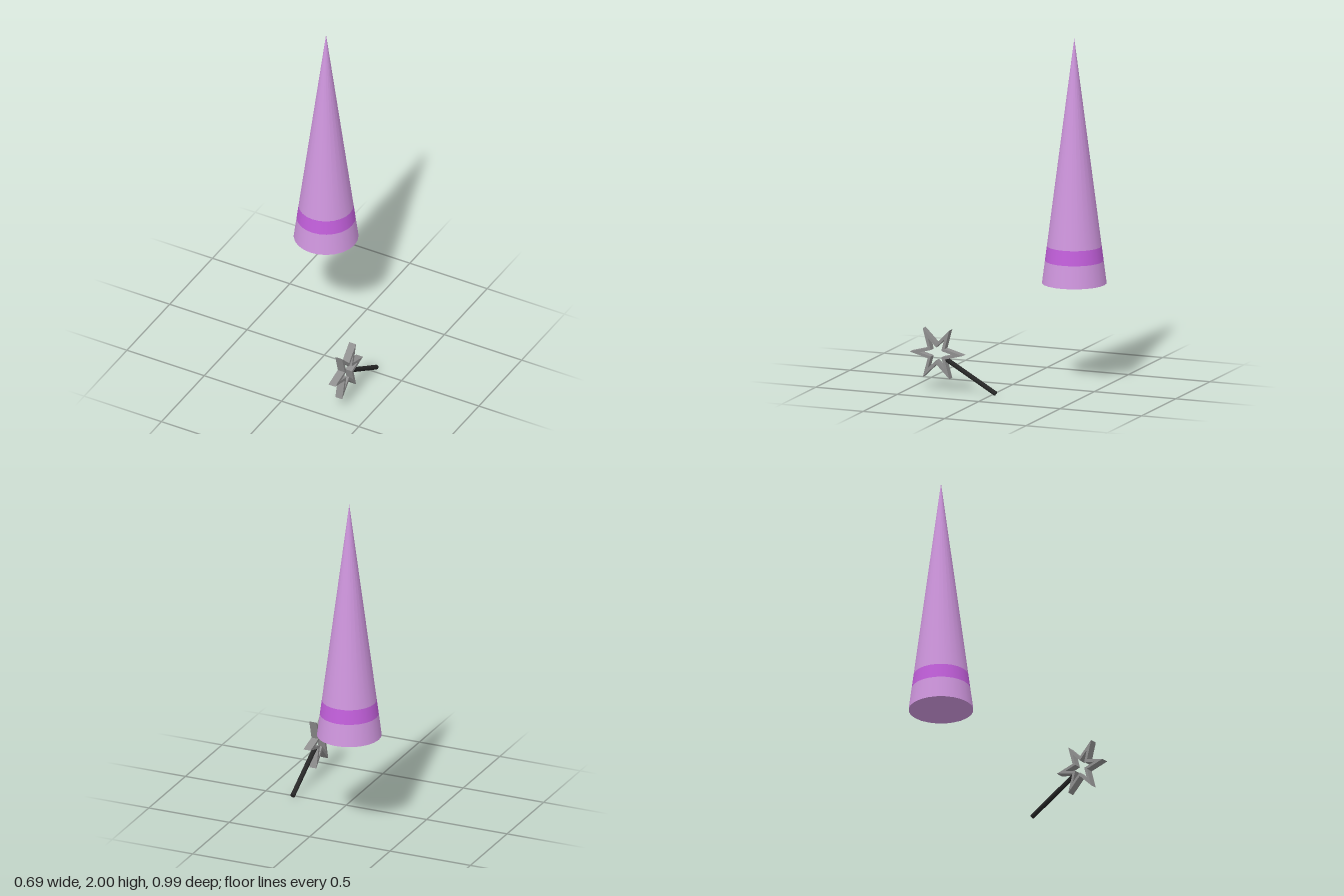
import * as THREE from 'three';

const mat = (name, color) => {
  const m = new THREE.MeshStandardMaterial({ color });
  m.name = name;
  return m;
};

// Six-pointed star outline, added to a Shape or Path
function traceStar(path, outer, inner) {
  for (let i = 0; i < 12; i++) {
    const r = i % 2 ? inner : outer, a = (i * Math.PI) / 6;
    path[i ? 'lineTo' : 'moveTo'](r * Math.cos(a), r * Math.sin(a));
  }
  path.closePath();
  return path;
}

export function createModel() {
  const lilac = mat('lilac', 0xcf96de);
  const purple = mat('purple', 0xc25fdb);
  const grey = mat('grey', 0x8f8f8f);
  const black = mat('black', 0x272727);
  const model = new THREE.Group();

  const add = (parent, name, geometry, material) => {
    const mesh = new THREE.Mesh(geometry, material);
    mesh.name = name;
    parent.add(mesh);
    return mesh;
  };

  // Pointed hat: one cone cut into brim, band and crown
  const hat = new THREE.Group();
  hat.name = 'hat';
  hat.position.set(-0.16, 0, -0.31);
  model.add(hat);
  const BASE = 0.585, TIP = 2, RADIUS = 0.184;
  const radiusAt = (y) => (RADIUS * (TIP - y)) / (TIP - BASE);
  const slice = (name, y0, y1, material) => {
    const g = new THREE.CylinderGeometry(radiusAt(y1), radiusAt(y0), y1 - y0, 24, 1, true);
    add(hat, name, g, material).position.y = (y0 + y1) / 2;
  };
  slice('hatBrim', BASE, 0.715, lilac);
  slice('hatBand', 0.715, 0.8, purple);
  slice('hatCrown', 0.8, TIP, lilac);
  const bottom = add(hat, 'hatBottom', new THREE.CircleGeometry(RADIUS, 24), lilac);
  bottom.rotation.x = Math.PI / 2;
  bottom.position.y = BASE;

  // Wand: the star lies in the y-z plane, the handle slopes down to the back
  const wand = new THREE.Group();
  wand.name = 'wand';
  wand.position.set(0.32, 0.22, 0.328);
  model.add(wand);

  const star = traceStar(new THREE.Shape(), 0.163, 0.06);
  star.holes.push(traceStar(new THREE.Path(), 0.1, 0.037));
  const depth = 0.044;
  const starGeo = new THREE.ExtrudeGeometry(star, { depth, bevelEnabled: false });
  starGeo.translate(0, 0, -depth / 2).rotateY(-Math.PI / 2);
  add(wand, 'wandStar', starGeo, grey);

  const start = 0.05, end = 0.413;
  const handleGeo = new THREE.CylinderGeometry(0.0135, 0.0135, end - start, 16);
  handleGeo.translate(0, -(start + end) / 2, 0).rotateX(Math.PI / 3);
  add(wand, 'wandHandle', handleGeo, black);

  return model;
}
